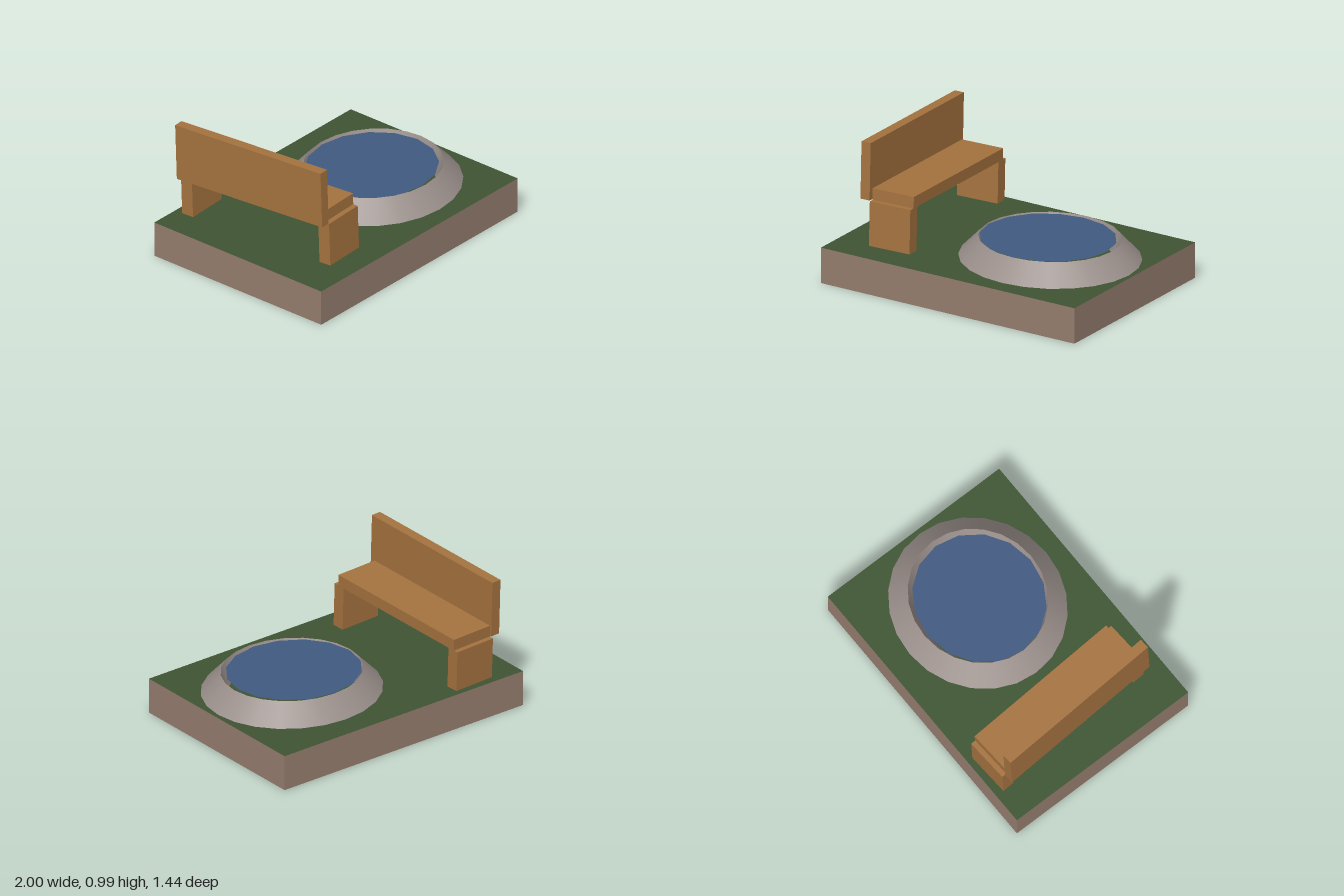
import * as THREE from 'three';

const material = (name, color) => {
  const m = new THREE.MeshStandardMaterial({ color });
  m.name = name;
  return m;
};

export function createModel() {
  const earth = material('earth', 0x967e6e);
  const grass = material('grass', 0x3f5533);
  const stone = material('stone', 0x9a8f8b);
  const water = material('water', 0x415a82);
  const wood = material('wood', 0xa5733f);

  const model = new THREE.Group();
  model.name = 'pondAndBench';

  const add = (parent, name, geometry, mat, x, y, z) => {
    const mesh = new THREE.Mesh(geometry, mat);
    mesh.name = name;
    mesh.position.set(x, y, z);
    parent.add(mesh);
    return mesh;
  };
  const box = (parent, name, size, mat, x, y, z) =>
    add(parent, name, new THREE.BoxGeometry(...size), mat, x, y, z);

  // Ground block; the top face alone is grass
  box(model, 'ground', [2, 0.25, 1.44],
    [earth, earth, grass, earth, earth, earth], 0, 0.125, 0);

  // Pond: sloped stone ring with a sharp rim, slightly oval
  const pond = new THREE.Group();
  pond.name = 'pond';
  pond.position.set(0.35, 0.25, 0.025);
  pond.scale.z = 0.925;
  model.add(pond);
  const ring = (name, points) => add(pond, name,
    new THREE.LatheGeometry(points.map(p => new THREE.Vector2(...p)), 24), stone, 0, 0, 0);
  ring('outerSlope', [[0.62, 0], [0.485, 0.14]]);
  ring('innerSlope', [[0.485, 0.14], [0.43, 0]]);

  // Water surface, a coarser disc set just under the rim
  const surface = add(pond, 'waterSurface', new THREE.CircleGeometry(0.465, 16), water, -0.017, 0.132, 0);
  surface.rotation.x = -Math.PI / 2;

  // Bench, turned and tilted a little
  const bench = new THREE.Group();
  bench.name = 'bench';
  bench.position.set(-0.6, 0.6, -0.07);
  bench.rotation.set(-0.035, 0.05, 0, 'YXZ');
  model.add(bench);
  box(bench, 'seat', [0.315, 0.08, 1.155], wood, 0, 0, 0);
  box(bench, 'backrest', [0.07, 0.4, 1.205], wood, -0.1925, 0.165, 0.012);
  box(bench, 'frontLeg', [0.31, 0.31, 0.09], wood, 0, -0.195, 0.571);
  box(bench, 'rearLeg', [0.31, 0.31, 0.09], wood, 0, -0.195, -0.567);

  return model;
}
